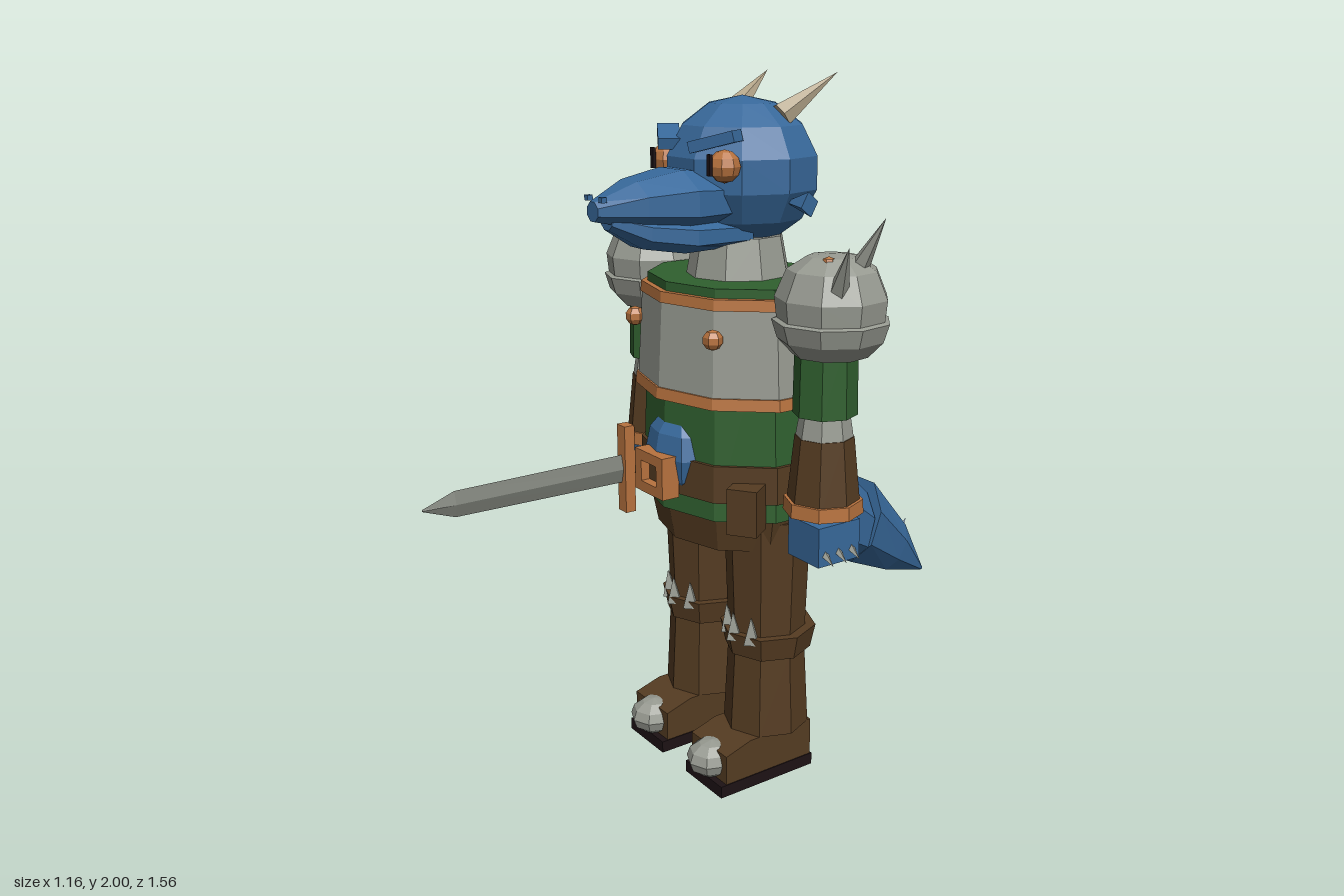
import * as THREE from 'three';

const paint = (name, color) => Object.assign(new THREE.MeshStandardMaterial({ color }), { name });
const blue = paint('blue hide', 0x38699b);
const green = paint('green cloth', 0x30602f);
const grey = paint('grey steel', 0x979a91);
const brown = paint('brown leather', 0x553c22);
const copper = paint('copper trim', 0xb8733f);
const black = paint('black', 0x1d1215);
const bone = paint('bone', 0xb3a489);
const blade = paint('blade steel', 0x7d8078);

// Faceted mesh with its own normal for every face
function add(parent, name, geometry, material, x = 0, y = 0, z = 0) {
  const g = geometry.index ? geometry.toNonIndexed() : geometry;
  g.computeVertexNormals();
  const m = new THREE.Mesh(g, material);
  m.name = name;
  m.position.set(x, y, z);
  parent.add(m);
  return m;
}

const box = (w, h, d) => new THREE.BoxGeometry(w, h, d);
const ball = (r, a = 8, b = 6) => new THREE.SphereGeometry(r, a, b);

// Upright prism between two heights
function drum(parent, name, mat, x, z, y0, y1, r0, r1, sides = 8, depth = 1) {
  const g = new THREE.CylinderGeometry(r1, r0, y1 - y0, sides);
  g.scale(1, 1, depth);
  return add(parent, name, g, mat, x, (y0 + y1) / 2, z);
}

// Cone from a base point to a tip
function spike(parent, name, mat, base, tip, r, sides = 5) {
  const a = new THREE.Vector3(...base), b = new THREE.Vector3(...tip), d = b.clone().sub(a);
  const m = add(parent, name, new THREE.ConeGeometry(r, d.length(), sides), mat);
  m.position.copy(a).add(b).multiplyScalar(0.5);
  m.quaternion.setFromUnitVectors(new THREE.Vector3(0, 1, 0), d.normalize());
  return m;
}

// Solid through sections [topZ, topY, bottomZ, bottomY, halfWidth], listed from back to front
function loft(sections, n = 8, phase = 0) {
  const pos = [], idx = [];
  for (const [tz, ty, bz, by, w] of sections)
    for (let j = 0; j < n; j++) {
      const a = phase + (j / n) * Math.PI * 2, s = Math.sin(a) / 2;
      pos.push(Math.cos(a) * w, (ty + by) / 2 + s * (ty - by), (tz + bz) / 2 + s * (tz - bz));
    }
  const last = (sections.length - 1) * n;
  for (let i = 0; i < last; i += n)
    for (let j = 0; j < n; j++) {
      const k = (j + 1) % n;
      idx.push(i + j, i + k, i + n + k, i + j, i + n + k, i + n + j);
    }
  for (let j = 1; j < n - 1; j++) idx.push(0, j + 1, j, last, last + j, last + j + 1);
  const g = new THREE.BufferGeometry();
  g.setAttribute('position', new THREE.Float32BufferAttribute(pos, 3));
  g.setIndex(idx);
  return g;
}

function group(parent, name) {
  const g = new THREE.Group();
  g.name = name;
  parent.add(g);
  return g;
}

function buildHead(root) {
  const head = group(root, 'head');
  add(head, 'skull', ball(0.218, 10, 7), blue, -0.005, 1.74, -0.045).scale.y = 0.92;
  add(head, 'upperSnout', loft([
    [0.03, 1.75, 0.03, 1.6, 0.13], [0.19, 1.765, 0.19, 1.59, 0.145],
    [0.32, 1.74, 0.32, 1.61, 0.105], [0.43, 1.69, 0.43, 1.635, 0.03],
  ], 8, Math.PI / 8), blue);
  add(head, 'lowerJaw', loft([
    [0, 1.63, 0, 1.54, 0.12], [0.18, 1.64, 0.18, 1.535, 0.125],
    [0.3, 1.65, 0.3, 1.555, 0.085], [0.39, 1.66, 0.39, 1.61, 0.03],
  ], 8, Math.PI / 8), blue);
  for (const s of [-1, 1]) {
    add(head, 'nostril', box(0.016, 0.014, 0.016), blue, s * 0.036, 1.695, 0.42);
    spike(head, 'horn', bone, [s * 0.11, 1.89, -0.09], [s * 0.155, 2, -0.243], 0.036, 6);
    spike(head, 'ear', blue, [s * 0.255, 1.67, -0.075], [s * 0.17, 1.67, -0.06], 0.034, 4);
    add(head, 'eye', ball(0.043, 8, 6), copper, s * 0.138, 1.77, 0.115);
    add(head, 'pupil', box(0.014, 0.055, 0.009), black, s * 0.135, 1.775, 0.16);
    const brow = add(head, 'brow', box(0.13, 0.03, 0.06), blue, s * 0.11, 1.832, 0.125);
    brow.rotation.set(0, s * 0.55, s * 0.25);
  }
}

function buildTorso(root) {
  const torso = group(root, 'torso');
  const z = -0.027, ring = (name, mat, y0, y1, r0, r1) => drum(torso, name, mat, 0, z, y0, y1, r0, r1, 10, 0.84);
  ring('tunic', green, 0.82, 1.46, 0.305, 0.282);
  ring('hips', brown, 0.72, 0.83, 0.26, 0.285);
  ring('belt', brown, 0.875, 0.98, 0.313, 0.311);
  ring('breastplate', grey, 1.15, 1.42, 0.318, 0.3);
  ring('lowerTrim', copper, 1.14, 1.172, 0.327, 0.323);
  ring('upperTrim', copper, 1.405, 1.435, 0.306, 0.303);
  drum(torso, 'collar', grey, 0, -0.03, 1.44, 1.57, 0.15, 0.125, 9);
  add(torso, 'belly', ball(0.13, 8, 6), blue, 0, 0.975, 0.165).scale.set(1, 1, 0.68);

  // Buckle frame with an open centre
  const frame = new THREE.Shape([[-0.07, -0.06], [0.07, -0.06], [0.07, 0.06], [-0.07, 0.06]].map(p => new THREE.Vector2(...p)));
  frame.holes.push(new THREE.Path([[-0.038, -0.03], [-0.038, 0.03], [0.038, 0.03], [0.038, -0.03]].map(p => new THREE.Vector2(...p))));
  add(torso, 'buckle', new THREE.ExtrudeGeometry(frame, { depth: 0.055, bevelEnabled: false }), copper, 0, 0.928, 0.222);
  add(torso, 'buckleCentre', box(0.08, 0.065, 0.03), brown, 0, 0.928, 0.235);
  add(torso, 'pouch', box(0.085, 0.13, 0.08), brown, 0.26, 0.87, 0.13).rotation.y = 0.6;

  for (const s of [-1, 1]) {
    add(torso, 'chestRivet', ball(0.028, 6, 5), copper, s * 0.193, 1.332, 0.192);
    add(torso, 'backStrap', box(0.055, 0.235, 0.05), brown, s * 0.145, 1.295, -0.283);
  }
  add(torso, 'backDiamond', new THREE.OctahedronGeometry(1), copper, 0, 1.292, -0.285).scale.set(0.065, 0.1, 0.04);
}

function buildArm(root, s) {
  const arm = group(root, s > 0 ? 'leftArm' : 'rightArm');
  const x = s * 0.407, z = -0.015;
  drum(arm, 'sleeve', green, x, z, 1.15, 1.36, 0.086, 0.082);
  drum(arm, 'elbow', grey, x, z, 1.08, 1.155, 0.078, 0.066);
  drum(arm, 'bracer', brown, x, z, 0.89, 1.09, 0.1, 0.079);
  drum(arm, 'cuff', copper, x, z, 0.88, 0.918, 0.108, 0.106);
  drum(arm, 'wrist', blue, x, z, 0.84, 0.89, 0.05, 0.05, 6);
  add(arm, 'hand', box(0.13, 0.11, 0.14), blue, x, 0.805, -0.02);
  for (let i = 0; i < 3; i++)
    spike(arm, 'claw', grey, [s * 0.46, 0.785, 0.025 - i * 0.045], [s * 0.51, 0.762, 0.03 - i * 0.045], 0.014, 4);

  // Domed shoulder guard with a flared lower rim
  const profile = [[0, 1.31], [0.1, 1.31], [0.14, 1.352], [0.155, 1.4], [0.142, 1.405], [0.148, 1.46], [0.118, 1.53], [0.065, 1.564], [0, 1.57]];
  add(arm, 'shoulderGuard', new THREE.LatheGeometry(profile.map(p => new THREE.Vector2(...p)), 9), grey, s * 0.42, 0, -0.02);
  spike(arm, 'shoulderSpike', grey, [s * 0.465, 1.51, -0.05], [s * 0.56, 1.67, -0.068], 0.032);
  spike(arm, 'shoulderSpike', grey, [s * 0.505, 1.48, 0.035], [s * 0.58, 1.61, 0.065], 0.03);
  add(arm, 'shoulderRivet', ball(0.019, 6, 4), copper, s * 0.457, 1.552, 0.025);
}

function buildLeg(root, s) {
  const leg = group(root, s > 0 ? 'leftLeg' : 'rightLeg');
  const x = s * 0.155, z = -0.02;
  drum(leg, 'thigh', brown, x, z, 0.44, 0.8, 0.112, 0.125);
  drum(leg, 'kneeBand', brown, x, z - 0.005, 0.39, 0.46, 0.125, 0.14);
  drum(leg, 'shin', brown, x, z, 0.15, 0.4, 0.125, 0.112);
  for (const i of [-1, 0, 1])
    spike(leg, 'kneeSpike', grey, [x + i * 0.055, 0.44, 0.092 - Math.abs(i) * 0.02], [x + i * 0.06, 0.52, 0.1 - Math.abs(i) * 0.02], 0.03, 4);
  add(leg, 'boot', loft([
    [-0.12, 0.15, -0.12, 0.03, 0.125], [0.1, 0.15, 0.1, 0.03, 0.125], [0.185, 0.12, 0.185, 0.03, 0.125],
  ].map(([tz, ty, bz, by, w]) => [tz, ty + 0.025, bz, by - 0.025, w]), 4, Math.PI / 4), brown, x, 0, 0);
  add(leg, 'sole', box(0.182, 0.036, 0.33), black, x, 0.018, 0.04);
  add(leg, 'toeCap', ball(1, 8, 6), grey, x, 0.083, 0.175).scale.set(0.072, 0.055, 0.075);
}

function buildTail(root) {
  const tail = group(root, 'tail');
  add(tail, 'tailBase', loft([
    [-0.5, 0.735, -0.435, 0.5, 0.11], [-0.3, 0.925, -0.155, 0.615, 0.155],
  ], 8, Math.PI / 8), blue);
  add(tail, 'tailEnd', loft([
    [-0.78, 0.4, -0.77, 0.388, 0.015], [-0.685, 0.58, -0.6, 0.43, 0.065], [-0.525, 0.765, -0.43, 0.5, 0.12],
  ], 8, Math.PI / 8), blue);
  spike(tail, 'tailSpike', blue, [0, 0.53, -0.67], [0, 0.585, -0.705], 0.02, 4);
}

function buildSword(root) {
  const sword = group(root, 'sword');
  sword.position.set(-0.407, 0.803, 0);
  add(sword, 'blade', loft([
    [0.1, 0.045, 0.1, -0.045, 0.012], [0.68, 0.04, 0.68, -0.04, 0.011], [0.78, 0.003, 0.78, -0.003, 0.003],
  ], 4), blade);
  add(sword, 'crossguard', box(0.045, 0.28, 0.035), copper, 0, 0, 0.105);
  const grip = new THREE.CylinderGeometry(0.024, 0.024, 0.25, 6).rotateX(Math.PI / 2);
  add(sword, 'grip', grip, brown, 0, 0, -0.02);
  add(sword, 'pommel', ball(0.033, 6, 5), copper, 0, 0, -0.145);
}

export function createModel() {
  const root = new THREE.Group();
  root.name = 'armouredReptileWarrior';
  buildHead(root);
  buildTorso(root);
  for (const s of [-1, 1]) {
    buildArm(root, s);
    buildLeg(root, s);
  }
  buildTail(root);
  buildSword(root);
  return root;
}
